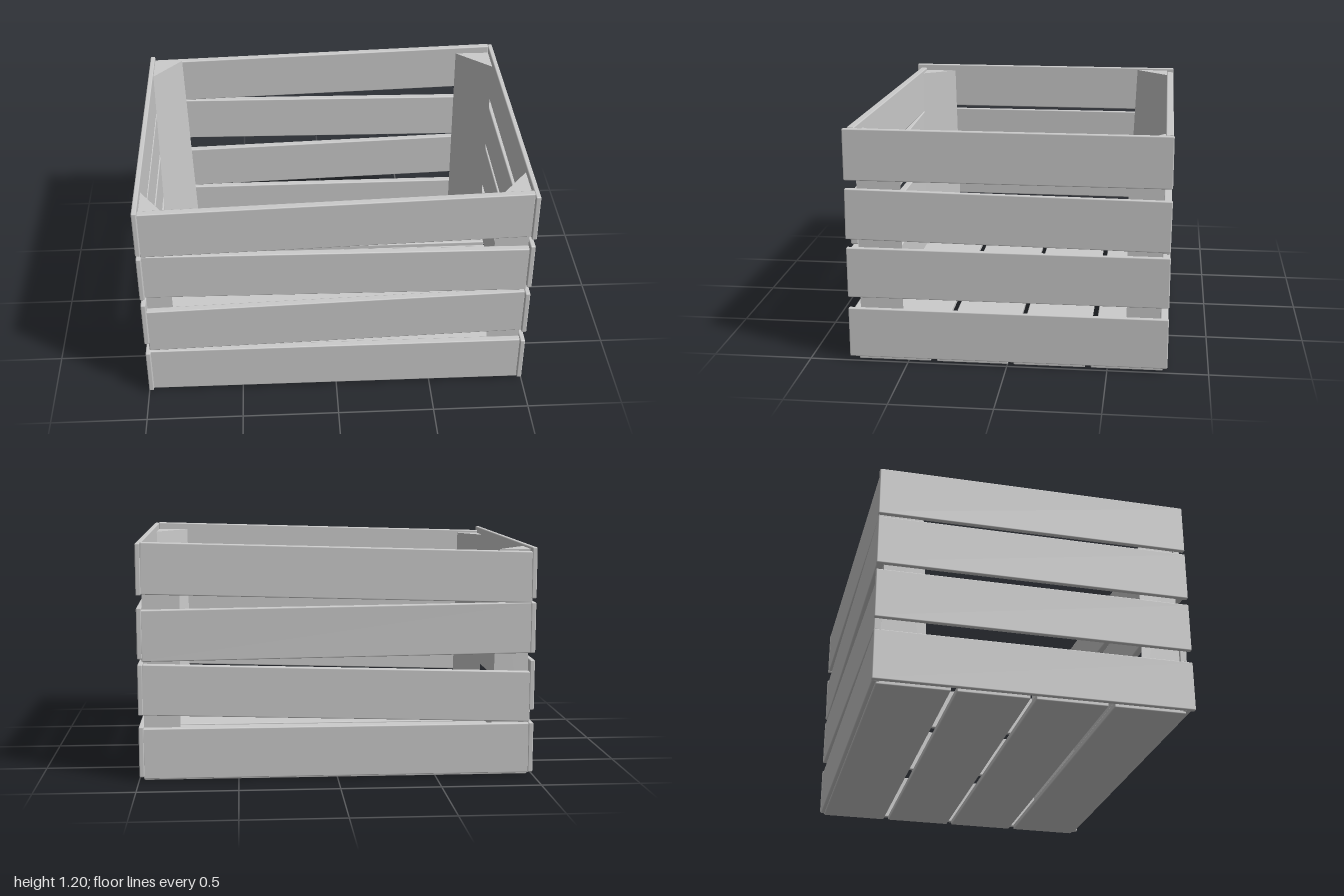
import * as THREE from 'three';
import { RoundedBoxGeometry } from 'three/addons/geometries/RoundedBoxGeometry.js';

const material = new THREE.MeshStandardMaterial({ color: 0xcccccc });
const SLAT_HEIGHT = 0.258;

// A plank with slightly eased edges
function plank(name, w, h, d, x, y, z) {
  const mesh = new THREE.Mesh(new RoundedBoxGeometry(w, h, d, 1, 0.006), material);
  mesh.name = name;
  mesh.position.set(x, y, z);
  return mesh;
}

// Triangular corner post: legs along x and z at the top and at the bottom
function cornerPost(name, sx, sz, cornerZ, top, bottom, height) {
  const cx = sx * 0.972;
  const ring = ([lx, lz], y) => [
    [cx, y, cornerZ], [cx - sx * lx, y, cornerZ], [cx, y, cornerZ - sz * lz],
  ];
  const b = ring(bottom, 0.025), t = ring(top, height);
  const faces = [[t[0], t[1], t[2]], [b[0], b[2], b[1]]];
  for (let i = 0; i < 3; i++) {
    const j = (i + 1) % 3;
    faces.push([b[i], b[j], t[j]], [b[i], t[j], t[i]]);
  }
  // Mirrored corners need the opposite winding
  const flip = sx * sz < 0;
  const points = faces.flatMap(([p, q, r]) => (flip ? [p, q, r] : [p, r, q])).flat();
  // Orient every face away from the prism centre
  const centre = new THREE.Vector3();
  [...b, ...t].forEach((p) => centre.add(new THREE.Vector3(...p)));
  centre.divideScalar(6);
  for (let i = 0; i < points.length; i += 9) {
    const [p, q, r] = [0, 3, 6].map((k) => new THREE.Vector3().fromArray(points, i + k));
    const normal = q.clone().sub(p).cross(r.clone().sub(p));
    if (normal.dot(p.clone().sub(centre)) < 0) {
      q.toArray(points, i + 6);
      r.toArray(points, i + 3);
    }
  }
  const geometry = new THREE.BufferGeometry();
  geometry.setAttribute('position', new THREE.Float32BufferAttribute(points, 3));
  geometry.computeVertexNormals();
  const mesh = new THREE.Mesh(geometry, material);
  mesh.name = name;
  return mesh;
}

export function createModel() {
  const crate = new THREE.Group();
  crate.name = 'crate';

  // Long slats: bottom height at the -x and +x ends, some nailed on crooked
  const longSlats = [[0.012, 0.01], [0.277, 0.336], [0.631, 0.607], [0.886, 0.943]];
  for (const [side, z] of [['front', 0.758], ['back', -0.776]]) {
    longSlats.forEach(([y0, y1], i) => {
      const slat = plank(`${side}Slat${i + 1}`, 1.96, SLAT_HEIGHT, 0.038,
        -0.003, (y0 + y1 + SLAT_HEIGHT) / 2, z);
      slat.rotation.z = Math.atan2(y1 - y0, 1.96);
      crate.add(slat);
    });
  }

  // Short slats: bottom height at the back and front ends
  const sides = {
    left: { x: 0.985, slats: [[0.02, 0.02], [0.336, 0.336], [0.62, 0.638], [0.938, 0.938]] },
    right: { x: -0.987, slats: [[0.015, 0.015], [0.338, 0.338], [0.631, 0.631], [0.908, 0.908]] },
  };
  for (const [side, { x, slats }] of Object.entries(sides)) {
    slats.forEach(([y0, y1], i) => {
      const slat = plank(`${side}Slat${i + 1}`, 0.026, SLAT_HEIGHT, 1.596,
        x, (y0 + y1 + SLAT_HEIGHT) / 2, 0);
      slat.rotation.x = -Math.atan2(y1 - y0, 1.596);
      crate.add(slat);
    });
  }

  // Floor boards
  [[0.388, 0.755], [-0.003, 0.358], [-0.39, -0.03], [-0.775, -0.418]].forEach(([z0, z1], i) => {
    crate.add(plank(`floorBoard${i + 1}`, 1.95, 0.03, z1 - z0, 0, 0.015, (z0 + z1) / 2));
  });

  // Corner posts, each cut a little differently
  crate.add(
    cornerPost('frontLeftPost', 1, 1, 0.739, [0.172, 0.22], [0.172, 0.215], 1.16),
    cornerPost('frontRightPost', -1, 1, 0.739, [0.12, 0.18], [0.14, 0.205], 1.13),
    cornerPost('backLeftPost', 1, -1, -0.757, [0.19, 0.17], [0.18, 0.165], 1.16),
    cornerPost('backRightPost', -1, -1, -0.757, [0.155, 0.18], [0.19, 0.225], 1.155),
  );
  return crate;
}
